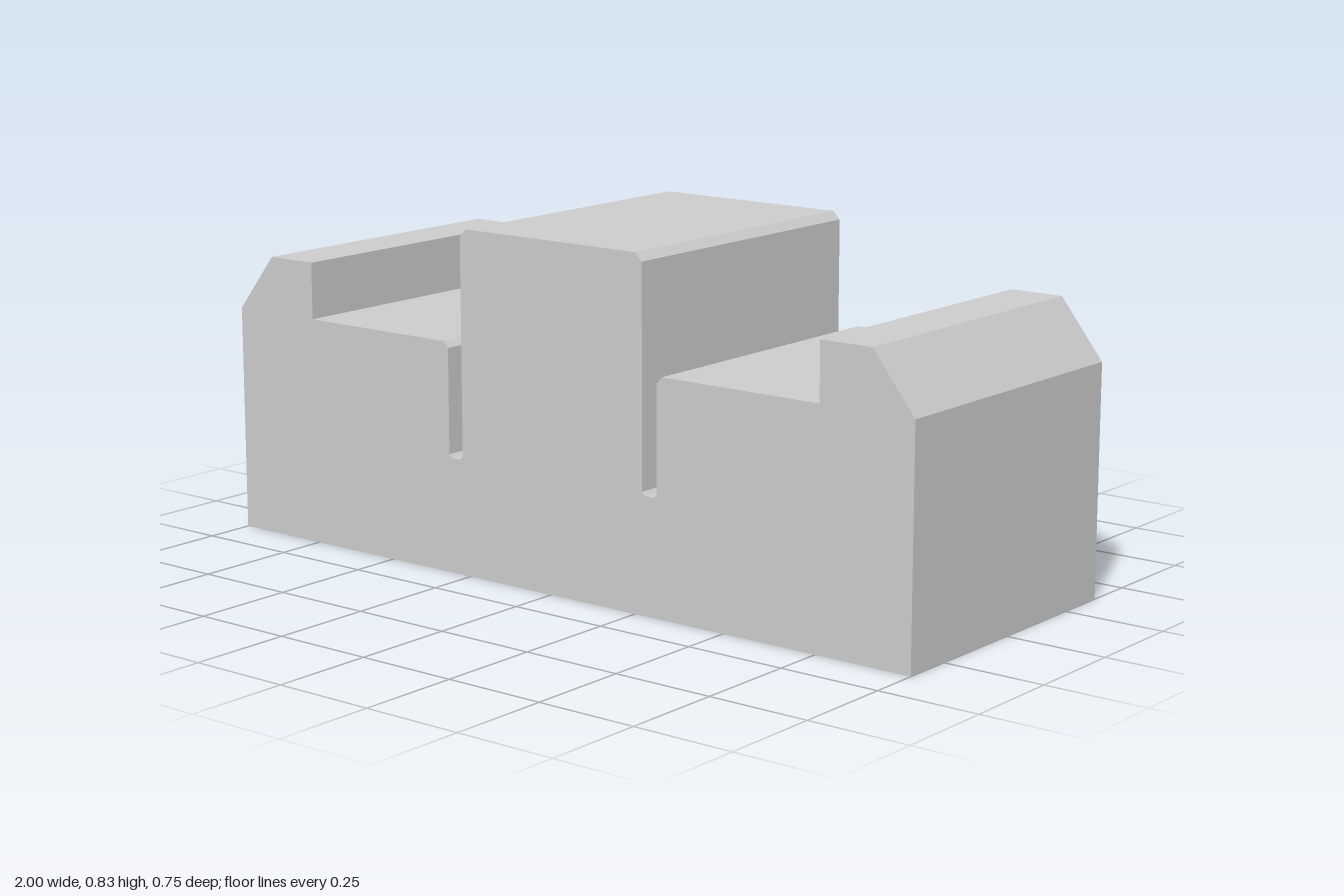
import * as THREE from 'three';

const DEPTH = 0.754;

// Right half of the cross-section, from the bottom corner up and in to the middle
const HALF_PROFILE = [
  [1, 0], [1, 0.558],                    // outer wall
  [0.89, 0.697], [0.755, 0.697],         // bevelled end lip
  [0.755, 0.558], [0.327, 0.558],        // shelf
  [0.312, 0.543], [0.312, 0.288],        // slot, outer wall
  [0.304, 0.28], [0.278, 0.28],          // slot floor
  [0.27, 0.288], [0.27, 0.811],          // slot, inner wall
  [0.251, 0.83],                         // chamfered central block
];

export function createModel() {
  const group = new THREE.Group();
  group.name = 'slottedBlock';

  // Mirror the half profile to close the outline
  const mirrored = HALF_PROFILE.map(([x, y]) => [-x, y]).reverse();
  const outline = [...HALF_PROFILE, ...mirrored].map(([x, y]) => new THREE.Vector2(x, y));

  const geometry = new THREE.ExtrudeGeometry(new THREE.Shape(outline), {
    depth: DEPTH,
    bevelEnabled: false,
  });
  geometry.translate(0, 0, -DEPTH / 2);

  const material = new THREE.MeshStandardMaterial({ color: 0xcccccc, flatShading: true });
  const body = new THREE.Mesh(geometry, material);
  body.name = 'body';
  group.add(body);
  return group;
}
